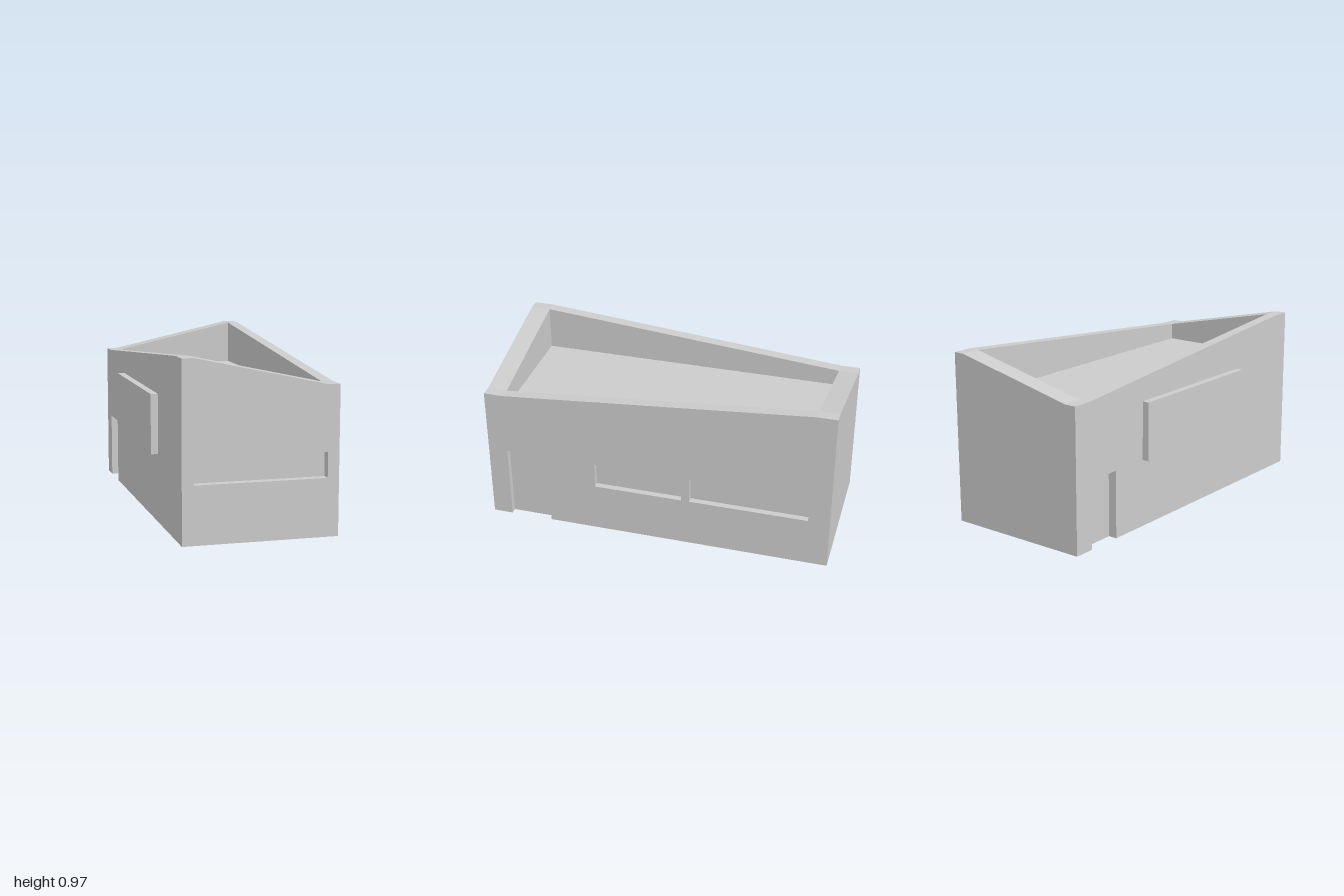
import * as THREE from 'three';

// Outer faces, inner faces of the parapet, and corner heights
const X0 = -0.405, X1 = 0.443, Z = 1;
const IX0 = -0.34, IX1 = 0.38, IZ = 0.887;
const HIGH = 0.967, LOW = 0.81, ROOF = 0.715;

const material = new THREE.MeshStandardMaterial({ color: 0xcccccc, flatShading: true });

function addMesh(parent, name, geometry) {
  const mesh = new THREE.Mesh(geometry, material);
  mesh.name = name;
  parent.add(mesh);
  return mesh;
}

function addBox(parent, name, x0, x1, y0, y1, z0, z1) {
  const geometry = new THREE.BoxGeometry(x1 - x0, y1 - y0, z1 - z0);
  addMesh(parent, name, geometry).position.set((x0 + x1) / 2, (y0 + y1) / 2, (z0 + z1) / 2);
}

// Wall outline seen from outside: sloping top with flat ends, optional door notch
function wallShape({ u, hl, hr }, door, windows) {
  const shape = new THREE.Shape();
  shape.moveTo(u[0], 0);
  if (door) {
    const [a, b, top] = door;
    shape.lineTo(a, 0);
    shape.lineTo(a, top);
    shape.lineTo(b, top);
    shape.lineTo(b, 0);
  }
  shape.lineTo(u[3], 0);
  shape.lineTo(u[3], hr);
  shape.lineTo(u[2], hr);
  shape.lineTo(u[1], hl);
  shape.lineTo(u[0], hl);
  shape.closePath();
  for (const [a, b, y0, y1] of windows) {
    const hole = new THREE.Path();
    hole.moveTo(a, y0);
    hole.lineTo(a, y1);
    hole.lineTo(b, y1);
    hole.lineTo(b, y0);
    hole.closePath();
    shape.holes.push(hole);
  }
  return shape;
}

// A wall is a solid inner layer plus an outer layer with openings cut in it
function addWall(parent, w) {
  const wall = new THREE.Group();
  wall.name = w.name;
  const extrude = (shape, depth) => new THREE.ExtrudeGeometry(shape, { depth, bevelEnabled: false });
  const inner = w.thickness - w.recess;
  addMesh(wall, 'innerLayer', extrude(wallShape(w, null, []), inner)).position.z = w.face - w.thickness;
  addMesh(wall, 'outerLayer', extrude(wallShape(w, w.door, w.windows || []), w.recess)).position.z = w.face - w.recess;
  wall.rotation.y = w.turn;
  parent.add(wall);
}

export function createModel() {
  const building = new THREE.Group();
  building.name = 'building';

  // Core with the sunken flat roof
  addBox(building, 'roofAndCore', IX0, IX1, 0, ROOF, -IZ, IZ);

  // Front wall with a long strip window
  addWall(building, {
    name: 'frontWall', turn: 0, face: Z, thickness: Z - IZ, recess: 0.05,
    u: [X0, IX0, IX1, X1], hl: HIGH, hr: LOW,
    windows: [[IX0, IX1, 0.316, 0.454]],
  });
  // Plain back wall
  addWall(building, {
    name: 'backWall', turn: Math.PI, face: Z, thickness: Z - IZ, recess: 0.05,
    u: [-X1, -IX1, -IX0, -X0], hl: HIGH, hr: LOW,
  });
  // Right wall with a door and two windows
  addWall(building, {
    name: 'rightWall', turn: Math.PI / 2, face: X1, thickness: X1 - IX1, recess: 0.036,
    u: [-Z, -IZ, IZ, Z], hl: LOW, hr: HIGH,
    door: [-IZ, -0.64, 0.443],
    windows: [[-0.36, 0.152, 0.289, 0.441], [0.198, 0.878, 0.289, 0.438]],
  });
  // Left wall with a door near the back
  addWall(building, {
    name: 'leftWall', turn: -Math.PI / 2, face: -X0, thickness: IX0 - X0, recess: 0.05,
    u: [-Z, -IZ, IZ, Z], hl: LOW, hr: HIGH,
    door: [-0.88, -0.675, 0.384],
  });

  // Raised sign board on the left wall
  addBox(building, 'wallPanel', -0.445, X0 + 0.01, 0.383, 0.715, -0.443, 0.468);

  return building;
}
